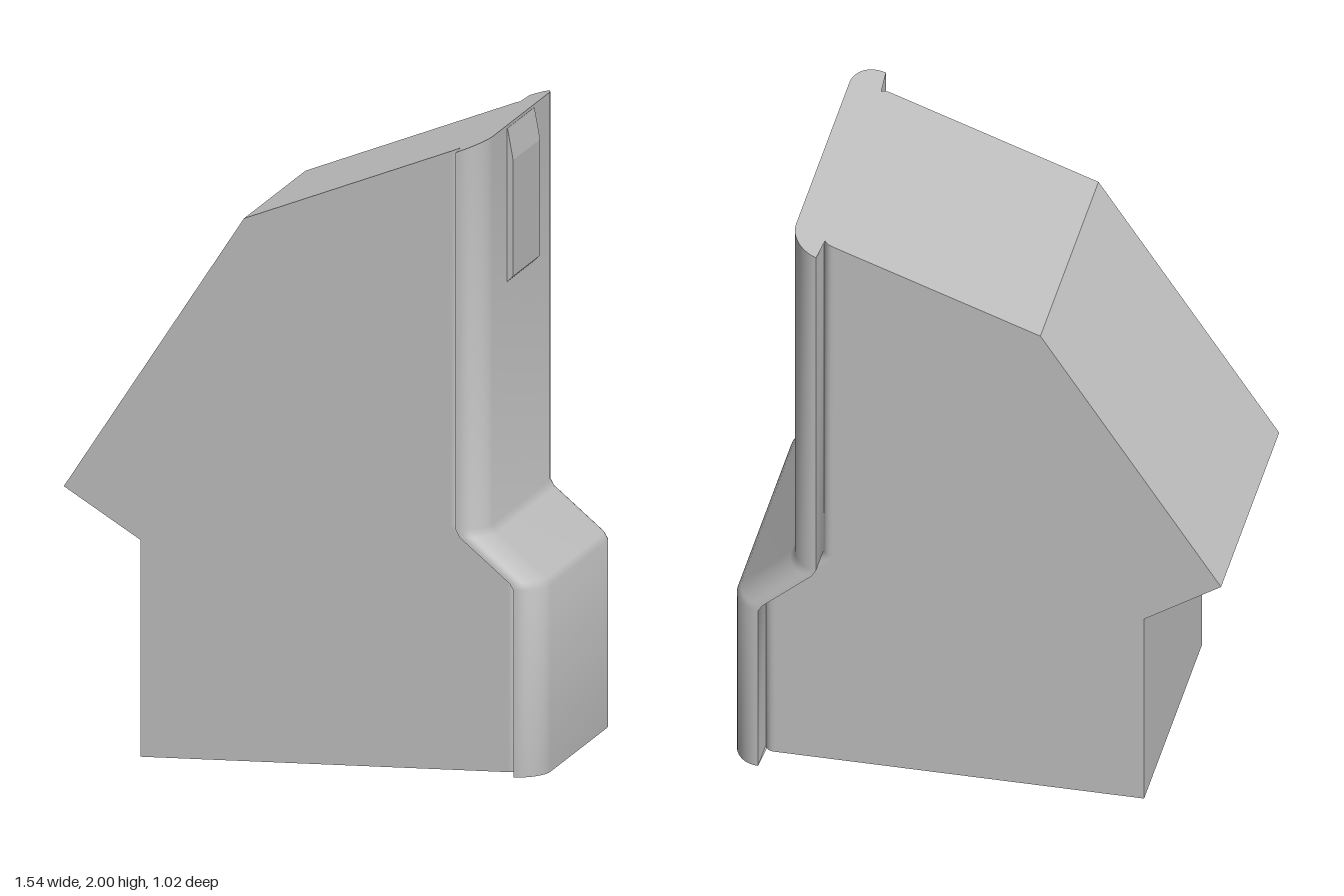
import * as THREE from 'three';
import { toCreasedNormals } from 'three/addons/utils/BufferGeometryUtils.js';

const HALF = 0.423;   // half width of the body
const JOIN = 0.46;    // x where the rounded end meets the slab body

// height and outward shift of the stepped end wall
const LEVELS = [[0, 0.185], [0.59, 0.185], [0.612, 0.172], [0.75, 0.014], [0.775, 0]];
const topY = x => 1.715 + 0.363 * (x + 0.2);

function extrudeAcross(points, width) {
  const shape = new THREE.Shape(points.map(p => new THREE.Vector2(...p)));
  const geo = new THREE.ExtrudeGeometry(shape, { depth: width, bevelEnabled: false });
  return geo.translate(0, 0, -width / 2);
}

// Plan outline: small round of the side shell, then the larger round of the core
function endOutline() {
  const half = [[JOIN, HALF]];
  const arc = (cx, cz, rx, rz, n) => {
    for (let i = 0; i <= n; i++) {
      const a = (i / n) * Math.PI / 2;
      half.push([cx + rx * Math.sin(a), cz + rz * Math.cos(a)]);
    }
  };
  arc(0.463, 0.39, 0.032, 0.033, 6);
  arc(0.495, 0.388, 0.09, 0.12, 12);
  return [...half, ...half.slice().reverse().map(([x, z]) => [x, -z])];
}

// Stack the outline along the stepped wall and cap both ends
function endGeometry() {
  const outline = endOutline();
  const rings = LEVELS.map(([y, s]) => outline.map(([x, z]) => [x + s, y, z]));
  rings.push(outline.map(([x, z]) => [x, topY(x), z]));
  const pos = [];
  const tri = (...pts) => pts.forEach(p => pos.push(...p));
  const bottom = [JOIN + LEVELS[0][1], 0, 0];
  const top = [JOIN, topY(JOIN), 0];
  const last = rings[rings.length - 1];
  for (let i = 0; i < outline.length - 1; i++) {
    for (let r = 0; r < rings.length - 1; r++) {
      const lo = rings[r], hi = rings[r + 1];
      tri(lo[i], lo[i + 1], hi[i + 1]);
      tri(lo[i], hi[i + 1], hi[i]);
    }
    tri(top, last[i], last[i + 1]);
    tri(bottom, rings[0][i + 1], rings[0][i]);
  }
  const geo = new THREE.BufferGeometry();
  geo.setAttribute('position', new THREE.Float32BufferAttribute(pos, 3));
  return toCreasedNormals(geo, 0.6);
}

export function createModel() {
  const group = new THREE.Group();
  const grey = new THREE.MeshStandardMaterial({ color: 0xc0c0c0 });
  grey.name = 'plain grey';
  const add = (name, geo) => {
    const mesh = new THREE.Mesh(geo, grey);
    mesh.name = name;
    group.add(mesh);
  };

  // Slab body with the overhanging sloped side
  add('body', extrudeAcross([
    [-0.53, 0],
    ...LEVELS.map(([y, s]) => [JOIN + s, y]),
    [JOIN, topY(JOIN)],
    [-0.2, 1.715], [-0.775, 0.845], [-0.53, 0.685],
  ], HALF * 2));

  // Rounded, stepped end
  add('steppedEnd', endGeometry());

  // Raised panel near the top of the end
  add('raisedPanel', extrudeAcross([
    [0.57, 1.505], [0.585, 1.505], [0.604, 1.523], [0.604, 1.89], [0.586, 1.99], [0.57, 1.99],
  ], 0.37));

  return group;
}
